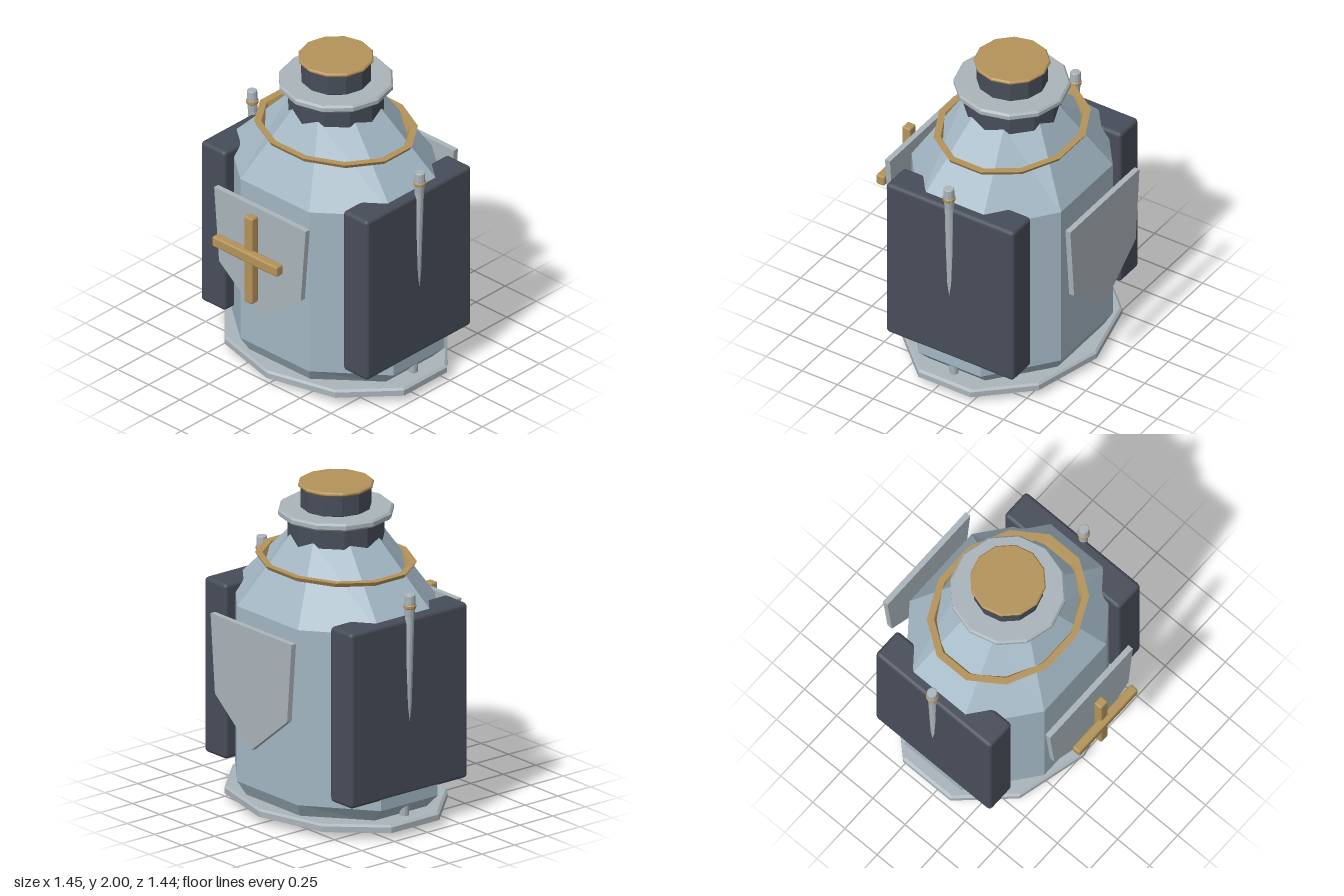
import * as THREE from 'three';
import { RoundedBoxGeometry } from 'three/addons/geometries/RoundedBoxGeometry.js';

const mat = (color, flatShading = true) => new THREE.MeshStandardMaterial({ color, flatShading });
const steel = mat(0xa3b7c4);
const silver = mat(0xaab4ba);
const dark = mat(0x474d59);
const gold = mat(0xb4935a);
const darkSmooth = mat(0x474d59, false);
const goldSmooth = mat(0xb4935a, false);

const CENTRE_Z = -0.07;

// n-sided loft through rows of [y, radiusX, radiusZ]; flat = turn an edge, not a corner, to the front
function loft(n, rows, flat = false) {
  const pts = rows.map((_, i) => new THREE.Vector2(1, i));
  const geo = new THREE.LatheGeometry(pts, n, flat ? Math.PI / n : 0);
  const p = geo.attributes.position;
  for (let i = 0; i < p.count; i++) {
    const [y, rx, rz = rx] = rows[Math.round(p.getY(i))];
    p.setXYZ(i, p.getX(i) * rx, y, p.getZ(i) * rz);
  }
  geo.computeVertexNormals();
  return geo;
}

// closed disc or drum with chamfered rims
const drum = (n, r, y0, y1, c = 0.01) =>
  loft(n, [[y0, 0], [y0, r - c], [y0 + c, r], [y1 - c, r], [y1, r - c], [y1, 0]]);

function add(parent, name, geo, material, x = 0, y = 0, z = 0) {
  const mesh = new THREE.Mesh(geo, material);
  mesh.name = name;
  mesh.position.set(x, y, z);
  parent.add(mesh);
  return mesh;
}

function shieldGeometry() {
  const s = new THREE.Shape([[-0.37, 1.225], [-0.33, 0.735], [0, 0.47], [0.33, 0.735], [0.37, 1.225]]
    .map(([x, y]) => new THREE.Vector2(x, y)));
  const geo = new THREE.ExtrudeGeometry(s, { depth: 0.035, bevelEnabled: false });
  return geo.translate(0, 0, -0.0175);
}

export function createModel() {
  const model = new THREE.Group();
  model.name = 'armouredFlask';
  const core = new THREE.Group();
  core.name = 'core';
  core.position.z = CENTRE_Z;
  model.add(core);

  // ten-sided foot with a sloping underside
  add(core, 'basePlate', loft(10, [
    [0, 0, 0], [0, 0.61, 0.44], [0.045, 0.762, 0.593], [0.08, 0.762, 0.593],
    [0.092, 0.745, 0.58], [0.092, 0, 0]]), silver);

  // eight-sided body; sizes are given across the flats
  const k = 1 / Math.cos(Math.PI / 8);
  add(core, 'body', loft(8, [
    [0.08, 0, 0], [0.08, 0.58, 0.475], [0.175, 0.67, 0.524], [1.265, 0.67, 0.524],
    [1.7, 0.252, 0.262], [1.7, 0, 0]].map(([y, x, z]) => [y, x * k, z * k]), true), steel);

  // shoulder trim, closed section
  add(core, 'shoulderRing', loft(12, [
    [1.485, 0.455, 0.375], [1.505, 0.508, 0.425], [1.53, 0.523, 0.439],
    [1.53, 0.478, 0.398], [1.485, 0.455, 0.375]], true), gold);

  // neck and stopper
  add(core, 'lowerNeck', drum(12, 0.29, 1.58, 1.81), dark);
  add(core, 'collar', drum(12, 0.345, 1.8, 1.847, 0.012), silver);
  add(core, 'upperNeck', drum(12, 0.21, 1.84, 1.985), dark);
  add(core, 'cap', drum(12, 0.226, 1.975, 2, 0.008), gold);

  // side slabs and the leaning rods sunk into them
  for (const side of [1, -1]) {
    const label = side > 0 ? 'left' : 'right';
    add(core, label + 'SidePlate', new RoundedBoxGeometry(0.2, 1.09, 0.895, 2, 0.025),
      darkSmooth, side * 0.575, 0.78, 0);

    const rod = new THREE.Group();
    rod.name = label + 'Rod';
    rod.position.set(side * 0.622, 0.06, 0);
    rod.rotation.z = -side * 0.04;
    core.add(rod);
    add(rod, 'shaft', drum(12, 0.028, 0, 1.34, 0.004), silver);
    add(rod, 'grip', loft(12, [[1.28, 0.028], [1.34, 0.033], [1.375, 0.033], [1.415, 0.031],
      [1.42, 0.027], [1.42, 0]]), silver);
    add(rod, 'gripBand', drum(12, 0.038, 1.325, 1.365, 0.012), gold);
  }

  // front and back shields
  add(model, 'frontShield', shieldGeometry(), silver, 0, 0, 0.562);
  add(model, 'backShield', shieldGeometry(), silver, 0, 0, -0.703);

  // crossed bars in front of the front shield
  const cross = new THREE.Group();
  cross.name = 'cross';
  model.add(cross);
  add(cross, 'verticalBar', new RoundedBoxGeometry(0.066, 0.585, 0.058, 2, 0.012), goldSmooth, 0, 0.92, 0.654);
  add(cross, 'horizontalBar', new RoundedBoxGeometry(0.525, 0.068, 0.058, 2, 0.012), goldSmooth, 0, 0.958, 0.686);

  return model;
}
